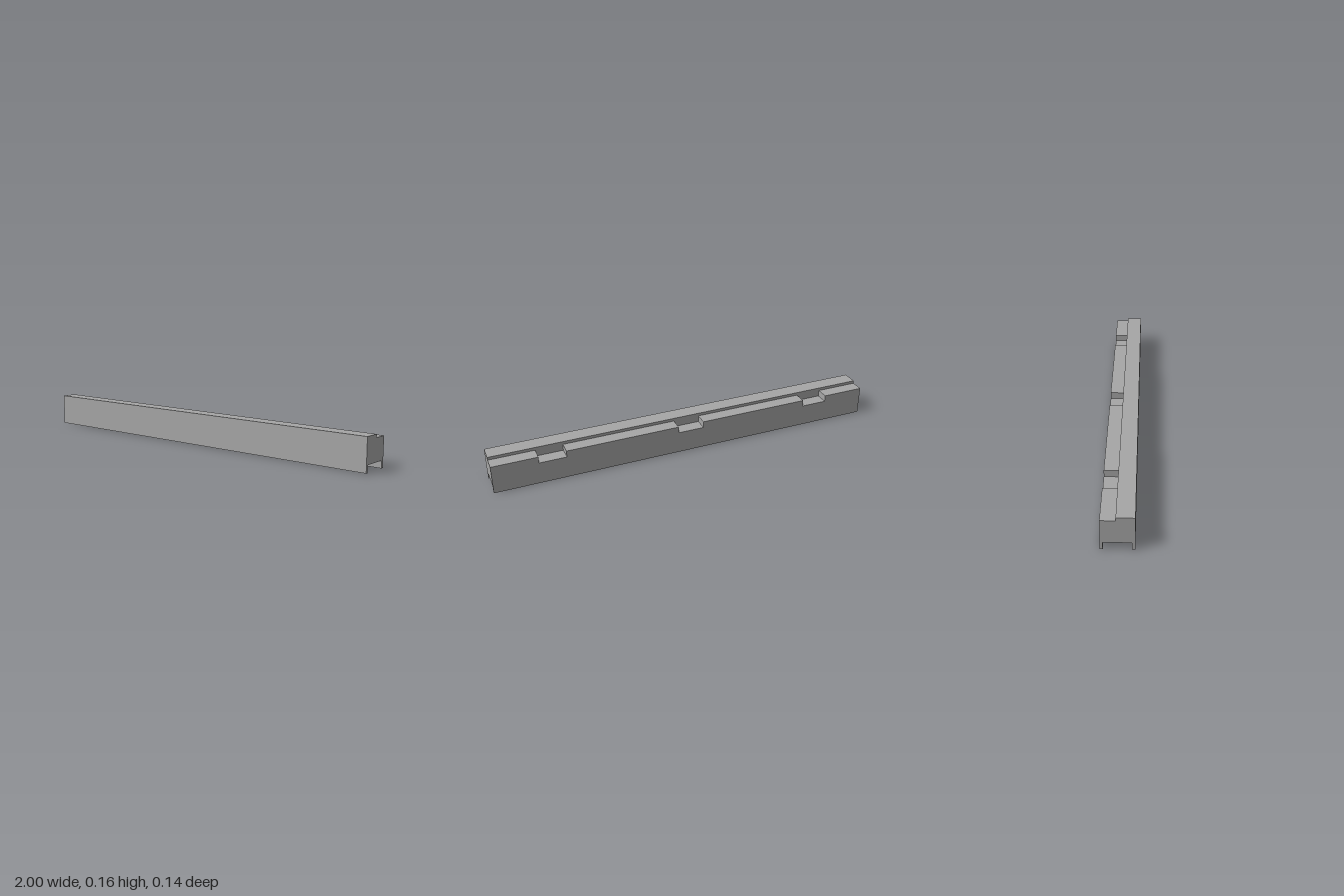
import * as THREE from 'three';
import { mergeGeometries } from 'three/addons/utils/BufferGeometryUtils.js';

const L = 1, W = 0.0725;               // half length, half width
const TOP = 0.16, LEDGE = 0.145;       // front strip and rear ledge heights
const STEP_Z = -0.007;                 // where the top steps down
const NOTCH_Y = 0.112;
const NOTCHES = [[-0.78, -0.645], [-0.07, 0.065], [0.64, 0.775]];
const POCKET_H = 0.035, POCKET_W = 0.06, POCKET_X = 0.728;
const HOLES = [0.81, 0.92], HOLE_R = 0.02, HOLE_D = 0.05;

// rotations that turn a flat panel (facing +z) towards each side
const TURN = {
  front: [0, 0], back: [0, Math.PI], up: [-Math.PI / 2, 0],
  down: [Math.PI / 2, 0], left: [0, Math.PI / 2], right: [0, -Math.PI / 2],
};

function shapeOf(points) {
  return new THREE.Shape(points.map(([x, y]) => new THREE.Vector2(x, y)));
}

function rect(x0, y0, x1, y1) {
  return shapeOf([[x0, y0], [x1, y0], [x1, y1], [x0, y1]]);
}

// flat face from a shape, turned to a side and moved into place
function panel(shape, side, x = 0, y = 0, z = 0) {
  const g = new THREE.ShapeGeometry(shape, 12);
  g.rotateX(TURN[side][0]).rotateY(TURN[side][1]);
  return g.translate(x, y, z);
}

export function createModel() {
  const group = new THREE.Group();
  const grey = new THREE.MeshStandardMaterial({ color: 0xa6a6a6 });
  grey.name = 'grey';

  function add(name, geometries) {
    const mesh = new THREE.Mesh(mergeGeometries(geometries), grey);
    mesh.name = name;
    group.add(mesh);
  }

  // notched line along the rear ledge, from +x to -x in panel space (x reversed)
  const notchLine = [[-L, LEDGE]];
  for (const [a, b] of [...NOTCHES].reverse()) {
    notchLine.push([-b, LEDGE], [-b, NOTCH_Y], [-a, NOTCH_Y], [-a, LEDGE]);
  }
  notchLine.push([L, LEDGE]);

  // end outline with stepped top and pocket opening; s maps z to panel x
  const endShape = (s) => shapeOf([
    [W, 0], [W, TOP], [STEP_Z, TOP], [STEP_Z, LEDGE], [-W, LEDGE], [-W, 0],
    [-POCKET_W, 0], [-POCKET_W, POCKET_H], [POCKET_W, POCKET_H], [POCKET_W, 0],
  ].map(([z, y]) => [s * z, y]));

  // underside with the end pockets left open
  const underside = shapeOf([
    [-L, -W], [L, -W], [L, -POCKET_W], [POCKET_X, -POCKET_W], [POCKET_X, POCKET_W],
    [L, POCKET_W], [L, W], [-L, W], [-L, POCKET_W], [-POCKET_X, POCKET_W],
    [-POCKET_X, -POCKET_W], [-L, -POCKET_W],
  ]);

  add('beamBody', [
    panel(rect(-L, 0, L, TOP), 'front', 0, 0, W),
    panel(shapeOf([[-L, 0], ...notchLine, [L, 0]]), 'back', 0, 0, -W),
    panel(endShape(-1), 'left', L),
    panel(endShape(1), 'right', -L),
    panel(underside, 'down'),
  ]);

  // raised front strip and the wall down to the ledge
  add('topStrip', [
    panel(rect(-L, -W, L, -STEP_Z), 'up', 0, TOP),
    panel(shapeOf([[-L, TOP], ...notchLine, [L, TOP]]), 'back', 0, 0, STEP_Z),
  ]);

  // rear ledge segments between the notches
  const cuts = [-L, ...NOTCHES.flat(), L];
  const ledges = [];
  for (let i = 0; i < cuts.length; i += 2) {
    ledges.push(panel(rect(cuts[i], -STEP_Z, cuts[i + 1], W), 'up', 0, LEDGE));
  }
  add('rearLedge', ledges);

  // notch floors and side walls
  NOTCHES.forEach(([a, b], i) => add('notch' + (i + 1), [
    panel(rect(a, -STEP_Z, b, W), 'up', 0, NOTCH_Y),
    panel(rect(-STEP_Z, NOTCH_Y, W, LEDGE), 'left', a),
    panel(rect(-W, NOTCH_Y, STEP_Z, LEDGE), 'right', b),
  ]));

  // end pockets with blind bolt holes
  for (const s of [1, -1]) {
    const side = s > 0 ? 'left' : 'right';
    const x0 = Math.min(s * POCKET_X, s * L), x1 = Math.max(s * POCKET_X, s * L);
    const roof = rect(x0, -POCKET_W, x1, POCKET_W);
    for (const h of HOLES) {
      roof.holes.push(new THREE.Path().absarc(s * h, 0, HOLE_R, 0, Math.PI * 2, true));
    }
    add(side + 'Pocket', [
      panel(roof, 'down', 0, POCKET_H),
      panel(rect(-POCKET_W, 0, POCKET_W, POCKET_H), side, s * POCKET_X),
      panel(rect(x0, 0, x1, POCKET_H), 'front', 0, 0, -POCKET_W),
      panel(rect(-x1, 0, -x0, POCKET_H), 'back', 0, 0, POCKET_W),
    ]);
    for (const h of HOLES) {
      // lathe profile running downwards so the wall faces inwards
      const top = POCKET_H + HOLE_D;
      const wall = new THREE.LatheGeometry(
        [new THREE.Vector2(HOLE_R, top), new THREE.Vector2(HOLE_R, POCKET_H)], 24);
      wall.translate(s * h, 0, 0);
      const cap = new THREE.CircleGeometry(HOLE_R, 24);
      cap.rotateX(Math.PI / 2).translate(s * h, top, 0);
      add(side + 'BoltHole', [wall, cap]);
    }
  }
  return group;
}
